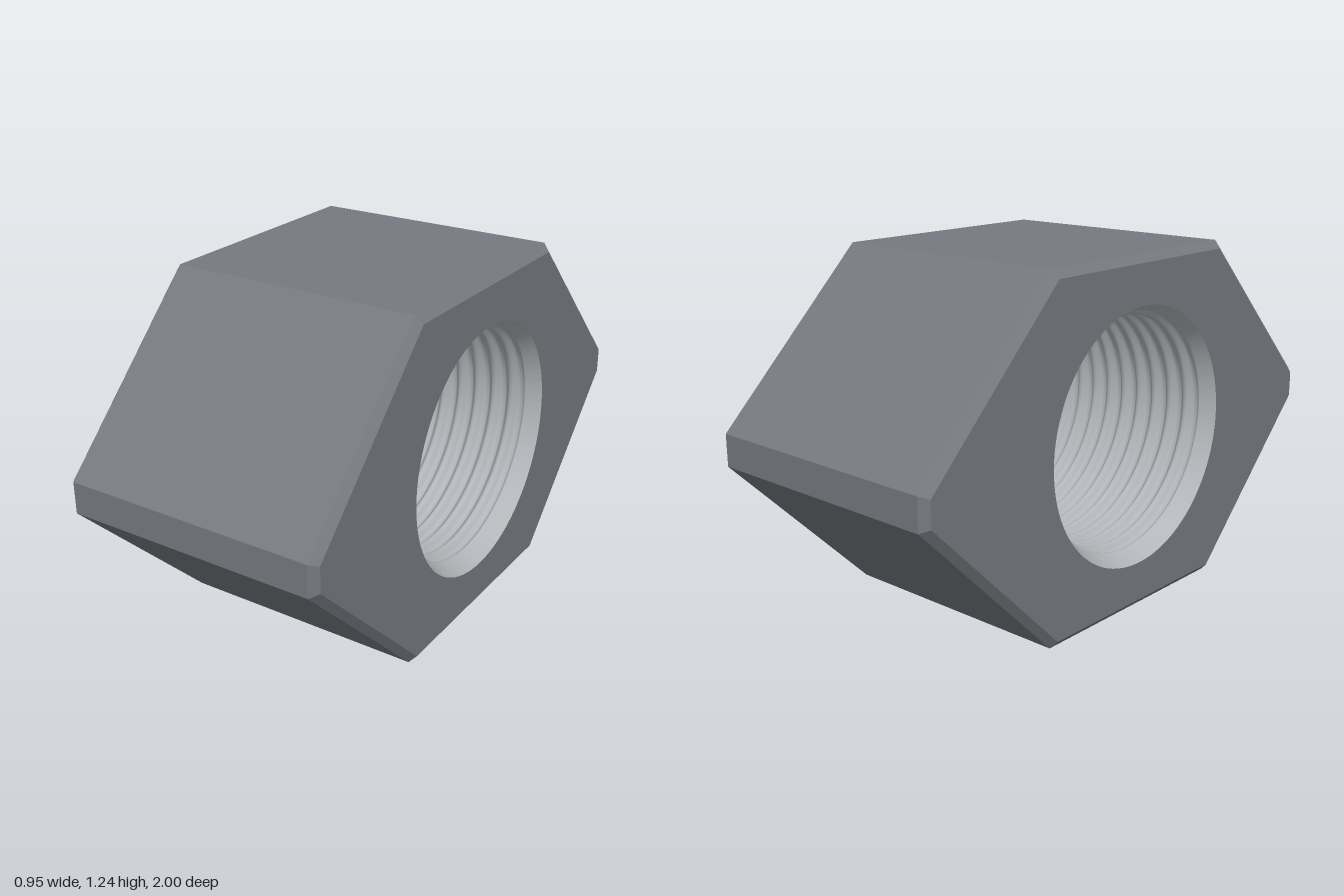
import * as THREE from 'three';

const CENTER_Y = 0.6175, HALF = 0.475, CHAMFER = 0.025;
const SEGMENTS = 96, PITCH = 0.07, MINOR = 0.405, MAJOR = 0.428, MOUTH = 0.45, SINK = 0.09;

// Joins closed rings of [x, y, z] points that advance along x
function loft(rings, inward) {
  const n = rings[0].length, index = [];
  for (let i = 0; i < rings.length - 1; i++) {
    for (let j = 0; j < n; j++) {
      const k = (j + 1) % n;
      const a = i * n + j, b = i * n + k, c = (i + 1) * n + j, d = (i + 1) * n + k;
      if (inward) index.push(a, c, b, b, c, d);
      else index.push(a, b, c, b, d, c);
    }
  }
  const geometry = new THREE.BufferGeometry();
  geometry.setAttribute('position', new THREE.Float32BufferAttribute(rings.flat(2), 3));
  geometry.setIndex(index);
  return geometry;
}

// Stretched hexagon with cut points, as [y, z], shrunk evenly by inset
function outline(inset) {
  const h = CENTER_Y - inset, w = 1 - inset;
  const diagonal = 1.056 - inset * Math.SQRT2;
  const quarter = [[h, diagonal - h], [diagonal - w, w]];
  const half = [...quarter, ...quarter.map(([y, z]) => [-y, z]).reverse()];
  return [...half, ...half.map(([y, z]) => [y, -z]).reverse()];
}

// Helical thread, opened by a countersink at both ends
function boreRadius(x, t) {
  const phase = x / PITCH - t / (2 * Math.PI);
  const wave = Math.abs(2 * (phase - Math.floor(phase)) - 1);
  const thread = MINOR + (MAJOR - MINOR) * THREE.MathUtils.smoothstep(wave, 0.1, 0.85);
  const sink = MOUTH - (MOUTH - MINOR) * (HALF - Math.abs(x)) / SINK;
  return Math.max(thread, sink);
}

export function createModel() {
  const nut = new THREE.Group();
  nut.name = 'hexNut';
  const bodyMaterial = new THREE.MeshStandardMaterial({ color: 0x767980 });
  const boreMaterial = new THREE.MeshStandardMaterial({ color: 0xb2b5b9 });
  const add = (name, geometry, material) => {
    const mesh = new THREE.Mesh(geometry, material);
    mesh.name = name;
    mesh.position.y = CENTER_Y;
    nut.add(mesh);
    return mesh;
  };

  // Outer flats with chamfered rims
  const sections = [[-HALF, 0.027], [CHAMFER - HALF, 0], [HALF - CHAMFER, 0], [HALF, 0.027]];
  const body = loft(sections.map(([x, inset]) => outline(inset).map(([y, z]) => [x, y, z]))).toNonIndexed();
  body.computeVertexNormals();
  add('outerBody', body, bodyMaterial);

  // End faces with the bore cut out
  const face = new THREE.Shape(outline(0.027).map(([y, z]) => new THREE.Vector2(z, y)));
  const hole = [];
  for (let j = 0; j < SEGMENTS; j++) {
    const t = j / SEGMENTS * 2 * Math.PI;
    hole.push(new THREE.Vector2(MOUTH * Math.sin(t), MOUTH * Math.cos(t)));
  }
  face.holes.push(new THREE.Path(hole));
  for (const side of [1, -1]) {
    const mesh = add(side > 0 ? 'leftFace' : 'rightFace', new THREE.ShapeGeometry(face), bodyMaterial);
    mesh.rotation.y = side * Math.PI / 2;
    mesh.position.x = side * HALF;
  }

  // Threaded bore
  const rings = [], steps = 300;
  for (let i = 0; i <= steps; i++) {
    const x = -HALF + 2 * HALF * i / steps;
    rings.push(hole.map((_, j) => {
      const t = j / SEGMENTS * 2 * Math.PI, r = boreRadius(x, t);
      return [x, r * Math.cos(t), r * Math.sin(t)];
    }));
  }
  const bore = loft(rings, true);
  bore.computeVertexNormals();
  add('threadedBore', bore, boreMaterial);

  return nut;
}
